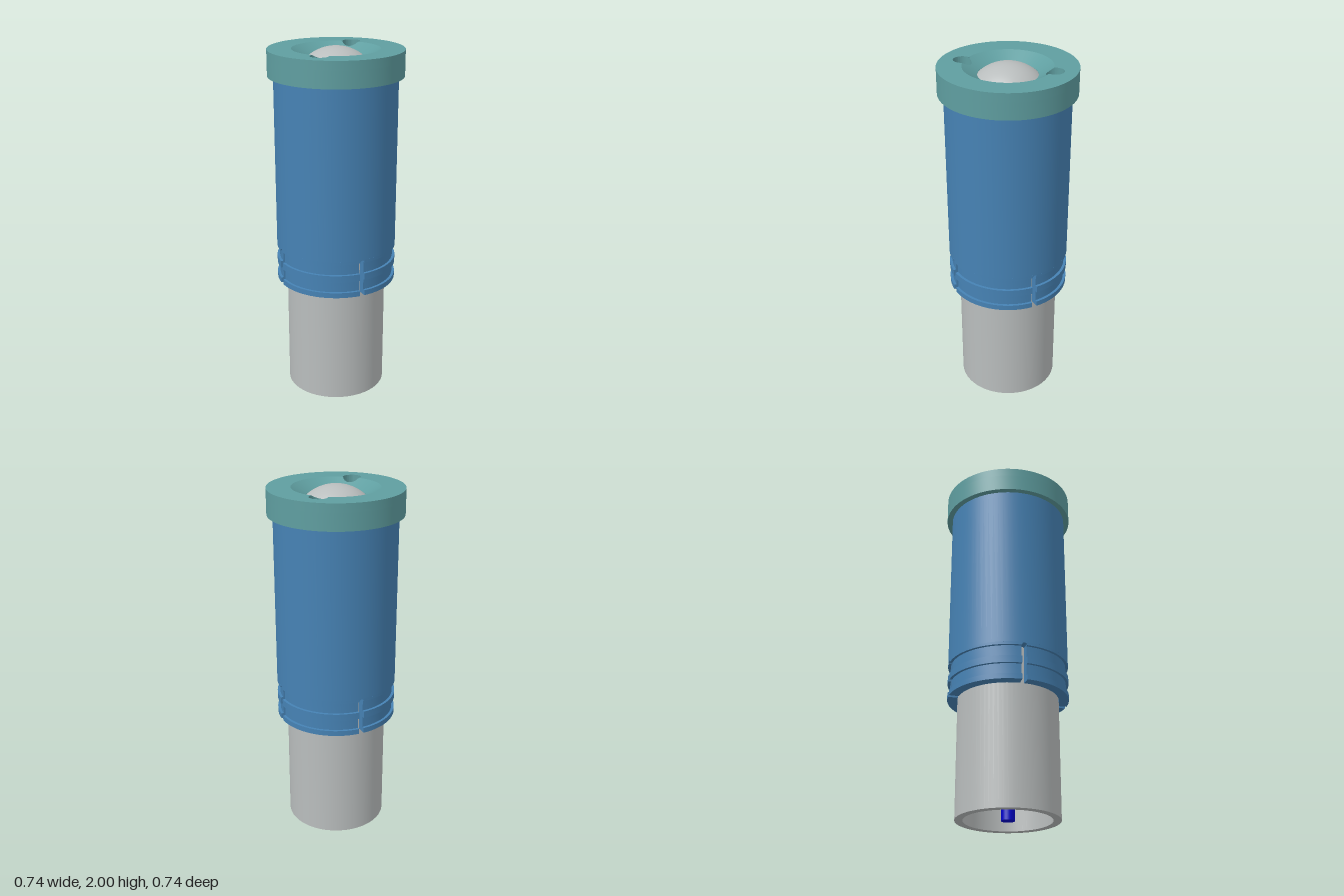
import * as THREE from 'three';
import { toCreasedNormals } from 'three/addons/utils/BufferGeometryUtils.js';

const SEG = 72;
const mat = (name, color, side = THREE.FrontSide) => {
  const m = new THREE.MeshStandardMaterial({ color, side });
  m.name = name;
  return m;
};
const V2 = (p) => new THREE.Vector2(p[0], p[1]);

// Ring of revolution from a closed profile of [radius, height] points
function ring(points, segments = SEG, start = 0, length = Math.PI * 2) {
  const g = new THREE.LatheGeometry([...points, points[0]].map(V2), segments, start, length);
  return toCreasedNormals(g, 0.5);
}

// Surface between pairs of points [lower, upper]
function strip(pairs) {
  const index = [];
  for (let i = 0; i < pairs.length - 1; i++) {
    const a = i * 2;
    index.push(a, a + 1, a + 2, a + 1, a + 3, a + 2);
  }
  const g = new THREE.BufferGeometry();
  g.setAttribute('position', new THREE.Float32BufferAttribute(pairs.flat(2), 3));
  g.setIndex(index);
  return toCreasedNormals(g, 0.5);
}

// Horizontal slab with holes, from y0 to y1
function slab(radius, holes, y0, y1) {
  const s = new THREE.Shape().absarc(0, 0, radius, 0, Math.PI * 2);
  s.holes.push(...holes);
  const g = new THREE.ExtrudeGeometry(s, { depth: y1 - y0, bevelEnabled: false, curveSegments: SEG });
  g.rotateX(-Math.PI / 2).translate(0, y0, 0);
  return toCreasedNormals(g, 0.5);
}

export function createModel() {
  const model = new THREE.Group();
  const teal = mat('teal', 0x5f9ea0, THREE.DoubleSide);
  const blue = mat('steel blue', 0x4682b4, THREE.DoubleSide);
  const grey = mat('light grey', 0xb9bdbd);
  const pinBlue = mat('deep blue', 0x0000cd);
  const add = (name, geometry, material, parent = model) => {
    const m = new THREE.Mesh(geometry, material);
    m.name = name;
    parent.add(m);
    return m;
  };

  // Inner tube, ball and centre pin
  add('innerTube', ring([[0.24, 0], [0.283, 0], [0.283, 1.5], [0.24, 1.5]]), grey);
  add('ball', new THREE.SphereGeometry(0.24, 64, 48).translate(0, 1.76, 0), grey);
  add('centrePin', new THREE.CylinderGeometry(0.037, 0.037, 1.55, 32).translate(0, 0.775, 0), pinBlue);

  // Sleeve: solid upper part with a top flange
  const sleeve = new THREE.Group();
  sleeve.name = 'sleeve';
  model.add(sleeve);
  add('sleeveBody', ring([[0.284, 0.886], [0.34, 0.886], [0.34, 1.845], [0.2, 1.845], [0.2, 1.8], [0.284, 1.8]]), blue, sleeve);

  // Four grooved fingers separated by slots
  const finger = [[0.284, 0.672], [0.34, 0.672], [0.34, 0.702], [0.325, 0.702], [0.325, 0.765],
    [0.34, 0.765], [0.34, 0.805], [0.325, 0.805], [0.325, 0.87], [0.34, 0.87], [0.34, 0.886], [0.284, 0.886]];
  const half = 0.014;
  const gap = half / 0.34;
  const endFace = new THREE.ShapeGeometry(new THREE.Shape(finger.map(V2)));
  const arch = new THREE.Shape();
  arch.moveTo(half, 0.87).lineTo(half, 0.887).lineTo(-half, 0.887).lineTo(-half, 0.87);
  arch.absarc(0, 0.87, half, Math.PI, 0, true);
  const archGeometry = new THREE.ExtrudeGeometry(arch, { depth: 0.056, bevelEnabled: false });
  archGeometry.translate(0, 0, 0.284);
  for (let i = 0; i < 4; i++) {
    const slot = Math.PI / 4 + i * Math.PI / 2;
    add('finger', ring(finger, 18, slot + gap, Math.PI / 2 - 2 * gap), blue, sleeve);
    for (const side of [-1, 1]) {
      add('fingerEnd', endFace, blue, sleeve).rotation.y = slot + side * gap - Math.PI / 2;
    }
    add('slotArch', archGeometry, blue, sleeve).rotation.y = slot;
  }

  // Cap: lower plate with ball opening and two screw holes
  const cap = new THREE.Group();
  cap.name = 'cap';
  model.add(cap);
  const R = 0.24, r = 0.16, d = 0.254, bore = 0.049, y0 = 1.94, y1 = 1.988;
  const hole = (z, radius) => new THREE.Path().absarc(0, z, radius, 0, Math.PI * 2);
  add('capPlate', slab(0.372, [hole(0, r), hole(d, 0.026), hole(-d, 0.026)], 1.845, y0), teal, cap);

  // Cap rim: its opening joins the dish with the two counterbores
  const mz = (R * R + d * d - bore * bore) / (2 * d);
  const mx = Math.sqrt(R * R - mz * mz);
  const a = Math.atan2(mz, mx), b = Math.atan2(mz - d, mx);
  const opening = new THREE.Path();
  opening.absarc(0, 0, R, -a, a);
  opening.absarc(0, d, bore, b, Math.PI - b);
  opening.absarc(0, 0, R, Math.PI - a, Math.PI + a);
  opening.absarc(0, -d, bore, Math.PI + b, Math.PI * 2 - b);
  add('capRim', slab(0.372, [opening], y0, y1), teal, cap);

  // Conical dish, cut back where the counterbores enter it
  const coneY = (q) => y0 + (y1 - y0) * (q - r) / (R - r);
  const dish = [];
  for (let i = 0; i <= 240; i++) {
    const t = i * Math.PI / 120, c = Math.cos(t), s = Math.sin(t);
    const k = bore * bore - d * d * c * c;
    const q = k > 0 ? Math.min(R, d * Math.abs(s) - Math.sqrt(k)) : R;
    dish.push([[r * c, y0, r * s], [q * c, coneY(q), q * s]]);
  }
  add('dish', strip(dish), teal, cap);

  // Counterbore walls inside the dish
  for (const side of [1, -1]) {
    const wall = [];
    for (let i = 0; i <= 32; i++) {
      const t = Math.PI - b + (Math.PI + 2 * b) * i / 32;
      const x = bore * Math.cos(t) * side, z = (d + bore * Math.sin(t)) * side;
      wall.push([[x, y0, z], [x, coneY(Math.hypot(x, z)), z]]);
    }
    add('counterboreWall', strip(wall), teal, cap);
  }
  return model;
}
